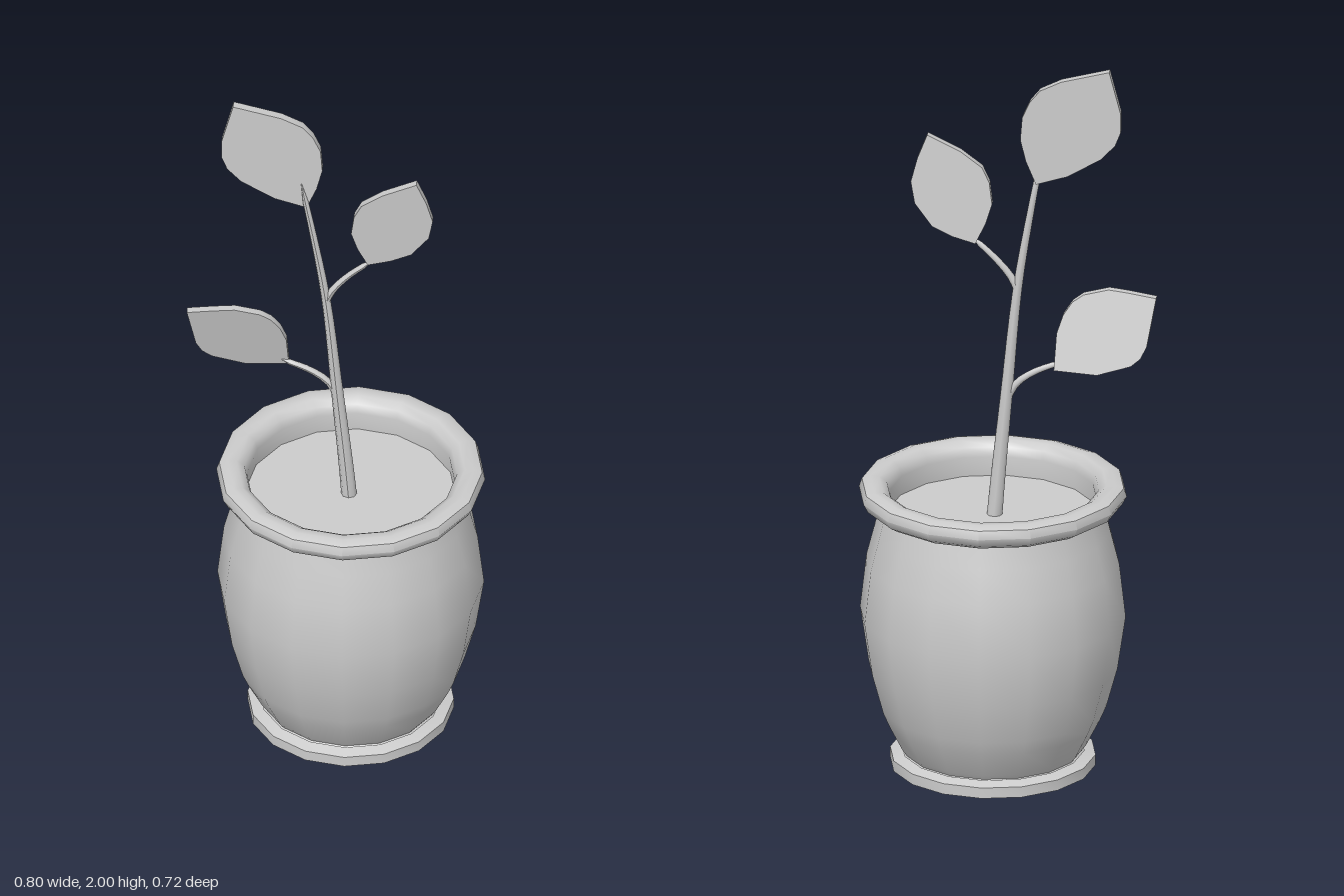
import * as THREE from 'three';
import { toCreasedNormals } from 'three/addons/utils/BufferGeometryUtils.js';

const material = new THREE.MeshStandardMaterial({ color: 0xcccccc });
const doubleSided = new THREE.MeshStandardMaterial({ color: 0xcccccc, side: THREE.DoubleSide });
const POT_X = 0.036;

// Sixteen-sided turned part from [radius, height] pairs
function turned(name, profile) {
  const points = profile.map(([r, y]) => new THREE.Vector2(r, y));
  const geometry = toCreasedNormals(new THREE.LatheGeometry(points, 16), 0.85);
  const mesh = new THREE.Mesh(geometry, doubleSided);
  mesh.name = name;
  mesh.position.x = POT_X;
  return mesh;
}

// Tube through points, narrowing from radius r0 to r1, with a closed tip
function taperedStem(name, points, r0, r1, steps) {
  const curve = new THREE.CatmullRomCurve3(points.map((p) => new THREE.Vector3(...p)));
  const sides = 8;
  const geometry = new THREE.TubeGeometry(curve, steps, 1, sides, false);
  const position = geometry.attributes.position;
  const v = new THREE.Vector3();
  for (let i = 0; i <= steps; i++) {
    const centre = curve.getPointAt(i / steps);
    const radius = i === steps ? 0.001 : THREE.MathUtils.lerp(r0, r1, i / (steps - 1));
    for (let j = 0; j <= sides; j++) {
      const k = i * (sides + 1) + j;
      v.fromBufferAttribute(position, k).sub(centre).multiplyScalar(radius).add(centre);
      position.setXYZ(k, v.x, v.y, v.z);
    }
  }
  geometry.computeVertexNormals();
  const mesh = new THREE.Mesh(geometry, material);
  mesh.name = name;
  return mesh;
}

// Thick leaf: an outline in x and y, leaning forward with height by the given slope
function leaf(name, outline, baseY, z, slope, thickness) {
  const shape = new THREE.Shape(outline.map(([x, y]) => new THREE.Vector2(x, y)));
  const geometry = new THREE.ExtrudeGeometry(shape, { depth: thickness, bevelEnabled: false });
  const position = geometry.attributes.position;
  for (let i = 0; i < position.count; i++) {
    position.setZ(i, position.getZ(i) + z + (position.getY(i) - baseY) * slope);
  }
  geometry.computeVertexNormals();
  const mesh = new THREE.Mesh(toCreasedNormals(geometry, 0.8), material);
  mesh.name = name;
  return mesh;
}

export function createModel() {
  const group = new THREE.Group();
  group.name = 'pottedPlant';

  // Pot: hollow foot, barrel body, rolled rim and soil
  group.add(
    turned('potFoot', [[0, 0.045], [0.235, 0.045], [0.27, 0], [0.276, 0], [0.276, 0.03], [0.245, 0.04]]),
    turned('potBody', [
      [0.235, 0.035], [0.25, 0.055], [0.288, 0.13], [0.305, 0.17], [0.335, 0.28],
      [0.357, 0.43], [0.34, 0.58], [0.317, 0.67], [0.3, 0.74],
    ]),
    turned('potRim', [
      [0.295, 0.735], [0.325, 0.738], [0.348, 0.752], [0.36, 0.775], [0.352, 0.798],
      [0.33, 0.806], [0.305, 0.804], [0.285, 0.79], [0.278, 0.765], [0.282, 0.7],
    ]),
    turned('soil', [[0.285, 0.71], [0, 0.71]]),
  );

  // Main stem and its two side branches
  group.add(
    taperedStem('mainStem', [[0.032, 0.7, 0], [0.022, 0.82, 0], [0, 1.05, 0], [-0.03, 1.36, 0], [-0.065, 1.58, 0], [-0.096, 1.75, 0.002]], 0.021, 0.008, 16),
    taperedStem('rightBranch', [[0, 1.04, 0], [-0.025, 1.085, 0], [-0.07, 1.12, 0], [-0.15, 1.155, 0]], 0.011, 0.008, 8),
    taperedStem('leftBranch', [[-0.032, 1.35, 0], [-0.015, 1.39, 0], [0.025, 1.44, 0], [0.09, 1.5, 0.005]], 0.011, 0.008, 8),
  );

  // Leaves
  group.add(
    leaf('topLeaf', [
      [-0.279, 2], [-0.31, 1.881], [-0.31, 1.828], [-0.295, 1.79], [-0.257, 1.749], [-0.167, 1.696],
      [-0.082, 1.67], [-0.055, 1.735], [-0.04, 1.796], [-0.045, 1.86], [-0.065, 1.905], [-0.093, 1.939], [-0.15, 1.967],
    ], 1.67, -0.023, 0, 0.024),
    leaf('leftLeaf', [
      [0.214, 1.786], [0.124, 1.743], [0.066, 1.701], [0.046, 1.66], [0.038, 1.6], [0.055, 1.545],
      [0.082, 1.489], [0.145, 1.507], [0.198, 1.532], [0.246, 1.595], [0.257, 1.655], [0.24, 1.72],
    ], 1.49, -0.014, 0.09, 0.022),
    leaf('rightLeaf', [
      [-0.4, 1.336], [-0.378, 1.209], [-0.362, 1.177], [-0.336, 1.156], [-0.246, 1.13], [-0.13, 1.138],
      [-0.135, 1.235], [-0.151, 1.283], [-0.175, 1.318], [-0.204, 1.338], [-0.272, 1.354], [-0.33, 1.347],
    ], 1.14, -0.025, 0.26, 0.022),
  );
  return group;
}
